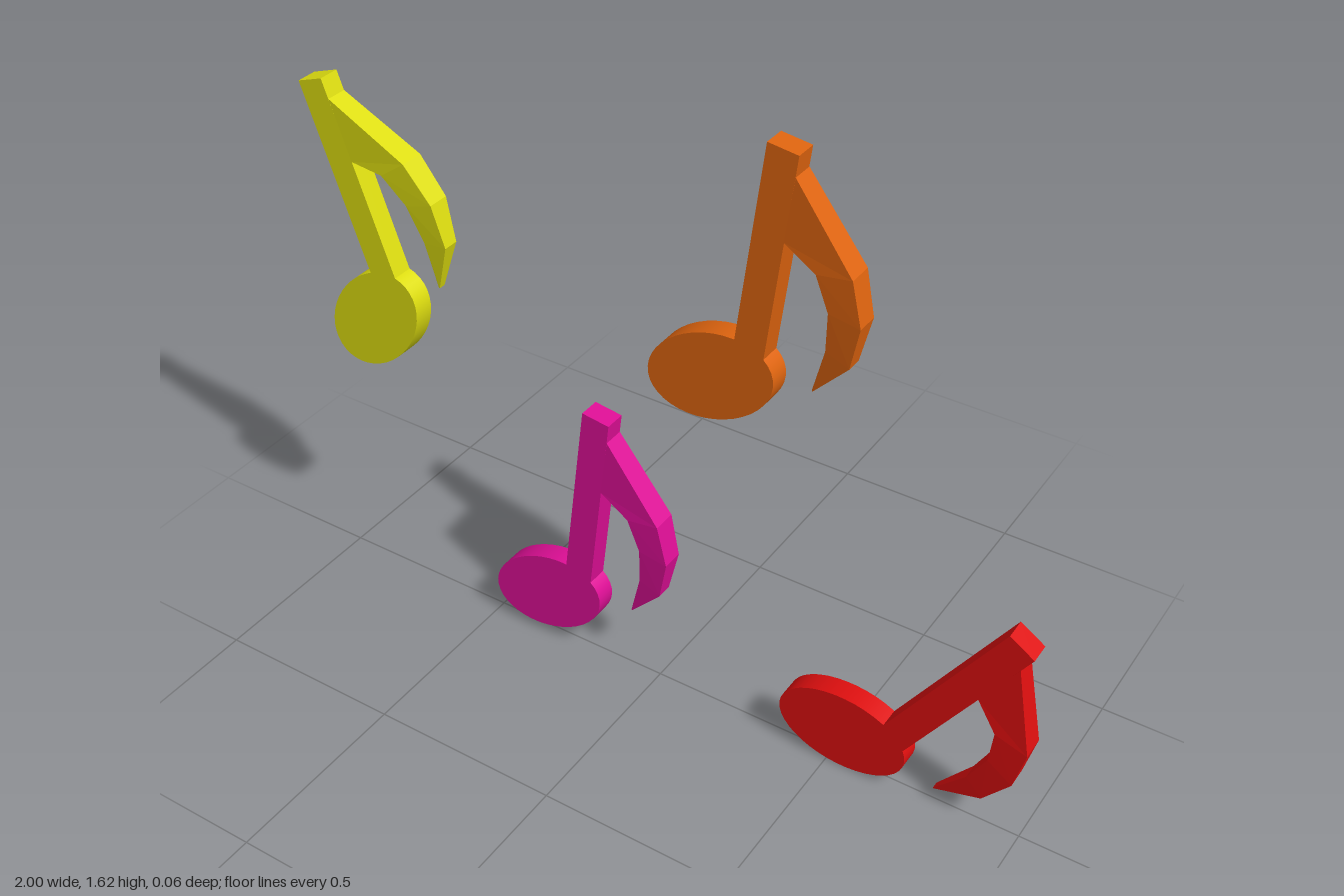
import * as THREE from 'three';

const HALF = 0.028; // half thickness of head and stem

// Oval head: a flat disc, stretched and tilted
function headGeometry() {
  return new THREE.CylinderGeometry(1, 1, HALF * 2, 40)
    .rotateX(Math.PI / 2)
    .scale(0.171, 0.11, 1)
    .rotateZ(THREE.MathUtils.degToRad(23));
}

// Slanted stem
function stemGeometry() {
  const outline = [[0.057, 0.08], [0.132, 0.06], [0.201, 0.61], [0.126, 0.62]];
  const shape = new THREE.Shape(outline.map(([x, y]) => new THREE.Vector2(x, y)));
  return new THREE.ExtrudeGeometry(shape, { depth: HALF * 2, bevelEnabled: false })
    .translate(0, 0, -HALF);
}

// Curved flag lofted through rectangular sections: outer x, y, inner x, y, half thickness
function flagGeometry() {
  const sections = [
    [0.195, 0.559, 0.174, 0.401, 0.028],
    [0.340, 0.366, 0.254, 0.353, 0.032],
    [0.364, 0.254, 0.286, 0.267, 0.029],
    [0.340, 0.142, 0.281, 0.166, 0.021],
    [0.250, 0.044, 0.248, 0.046, 0.009],
  ];
  const rings = sections.map(([ox, oy, ix, iy, h]) =>
    [[ox, oy, h], [ox, oy, -h], [ix, iy, -h], [ix, iy, h]]);
  const pos = [];
  const quad = (a, b, c, d) => pos.push(...a, ...b, ...c, ...a, ...c, ...d);
  for (let i = 0; i < rings.length - 1; i++) {
    for (let k = 0; k < 4; k++) {
      const n = (k + 1) % 4;
      quad(rings[i][k], rings[i + 1][k], rings[i + 1][n], rings[i][n]);
    }
  }
  // end caps
  const first = rings[0], last = rings[rings.length - 1];
  quad(first[0], first[1], first[2], first[3]);
  quad(last[3], last[2], last[1], last[0]);
  // wind every face outwards
  const geometry = new THREE.BufferGeometry();
  geometry.setAttribute('position', new THREE.Float32BufferAttribute(pos, 3));
  geometry.computeVertexNormals();
  return geometry;
}

export function createModel() {
  const model = new THREE.Group();
  model.name = 'musicNotes';
  const parts = { head: headGeometry(), stem: stemGeometry(), flag: flagGeometry() };

  // Each note: colour name, colour, head centre and turn in degrees
  const notes = [
    ['yellow', 0xdede10, -0.834, 0.806, 26.5],
    ['orange', 0xde640f, 0.147, 1.004, 0],
    ['magenta', 0xde0f96, -0.329, 0.144, 0],
    ['red', 0xde0f0f, 0.535, 0.112, -26],
  ];
  for (const [name, color, x, y, turn] of notes) {
    const material = new THREE.MeshStandardMaterial({ color });
    material.name = name;
    const note = new THREE.Group();
    note.name = name + 'Note';
    for (const [part, geometry] of Object.entries(parts)) {
      const mesh = new THREE.Mesh(geometry, material);
      mesh.name = part;
      note.add(mesh);
    }
    note.position.set(x, y, 0);
    note.rotation.z = THREE.MathUtils.degToRad(turn);
    model.add(note);
  }
  return model;
}
